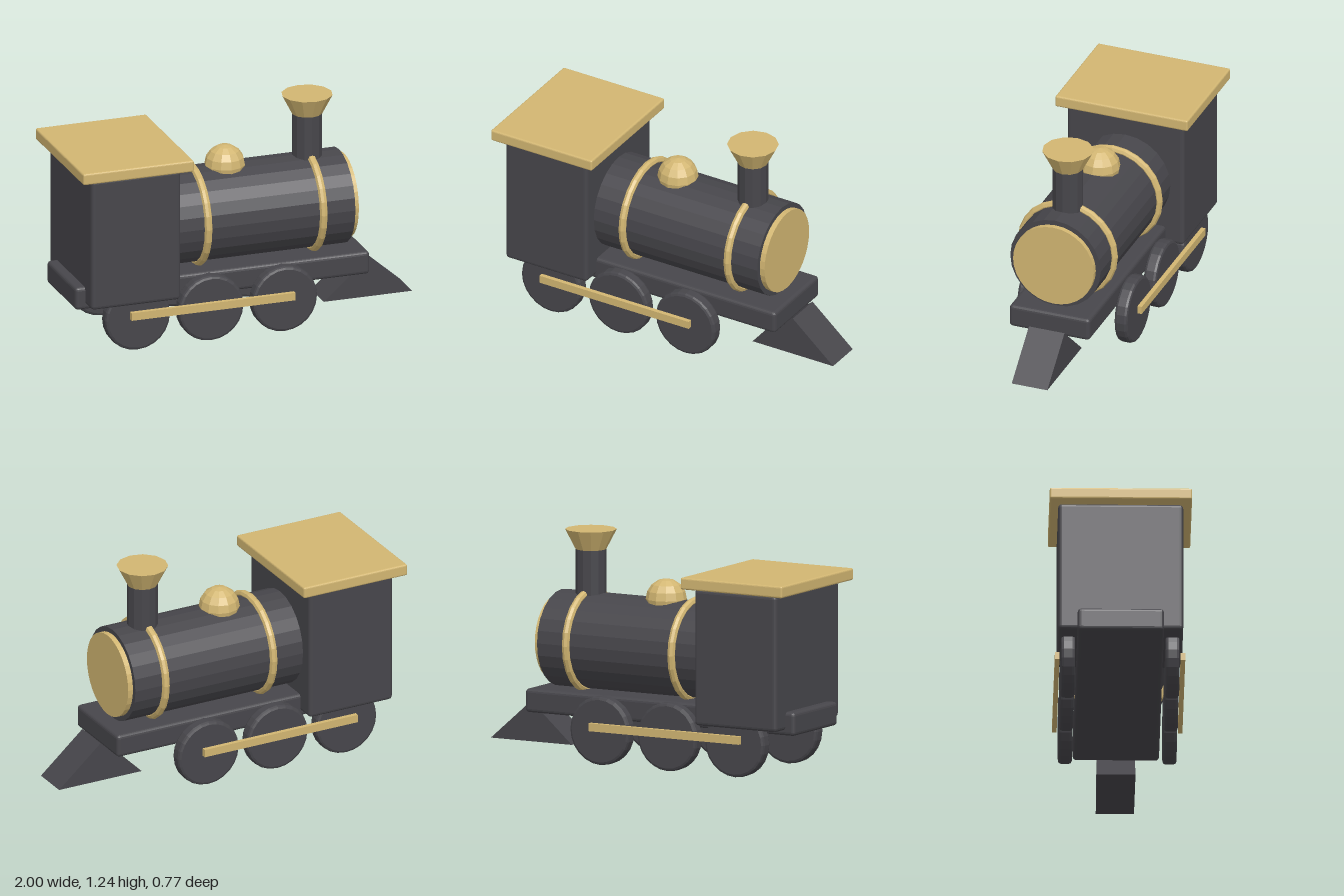
import * as THREE from 'three';
import { RoundedBoxGeometry } from 'three/addons/geometries/RoundedBoxGeometry.js';

const iron = new THREE.MeshStandardMaterial({ color: 0x47464b, flatShading: true });
iron.name = 'dark iron';
const brass = new THREE.MeshStandardMaterial({ color: 0xd2b672, flatShading: true });
brass.name = 'brass';

export function createModel() {
  const model = new THREE.Group();
  model.name = 'steamLocomotive';

  function add(name, geometry, material, x, y, z = 0) {
    const mesh = new THREE.Mesh(geometry, material);
    mesh.name = name;
    mesh.position.set(x, y, z);
    model.add(mesh);
    return mesh;
  }

  // Rounded box given by its x and y ranges and its half width in z
  function block(name, material, x0, x1, y0, y1, halfZ, radius) {
    const g = new RoundedBoxGeometry(x1 - x0, y1 - y0, halfZ * 2, 2, radius);
    return add(name, g, material, (x0 + x1) / 2, (y0 + y1) / 2);
  }

  // Cylinder lying along x
  function barrel(name, material, x0, x1, y, r, sides) {
    const g = new THREE.CylinderGeometry(r, r, x1 - x0, sides).rotateZ(-Math.PI / 2);
    return add(name, g, material, (x0 + x1) / 2, y);
  }

  // Chassis and cab
  block('chassis', iron, -0.99, 0.71, 0.24, 0.37, 0.235, 0.02);
  block('cab', iron, -0.935, -0.42, 0.27, 1.02, 0.34, 0.02);
  block('cabRoof', brass, -1, -0.36, 1.02, 1.085, 0.387, 0.01);

  // Boiler, front plate and bands
  barrel('boiler', iron, -0.5, 0.615, 0.63, 0.264, 24);
  barrel('boilerFrontPlate', brass, 0.6, 0.645, 0.63, 0.236, 32);
  for (const x of [-0.235, 0.43]) {
    const band = new THREE.TorusGeometry(0.27, 0.022, 8, 24).rotateY(Math.PI / 2);
    add('boilerBand', band, brass, x, 0.63);
  }

  // Steam dome and chimney
  add('steamDome', new THREE.SphereGeometry(0.112, 12, 8), brass, -0.045, 0.893);
  add('chimney', new THREE.CylinderGeometry(0.084, 0.084, 0.33, 12), iron, 0.43, 0.965);
  add('chimneyFlare', new THREE.CylinderGeometry(0.141, 0.084, 0.11, 12), brass, 0.43, 1.185);

  // Wheels with bevelled rims, and coupling rods
  const rim = [[0, -0.038], [0.172, -0.038], [0.183, -0.033], [0.188, -0.022],
    [0.188, 0.022], [0.183, 0.033], [0.172, 0.038], [0, 0.038]];
  const wheel = new THREE.LatheGeometry(rim.map(([r, h]) => new THREE.Vector2(r, h)), 24)
    .rotateX(Math.PI / 2);
  for (const side of [-1, 1]) {
    for (const x of [-0.66, -0.235, 0.19]) add('wheel', wheel, iron, x, 0.188, side * 0.284);
    add('couplingRod', new THREE.BoxGeometry(0.945, 0.044, 0.025), brass, -0.237, 0.211, side * 0.342);
  }

  // Wedge-shaped track clearer
  const wedge = new THREE.Shape([
    new THREE.Vector2(0.49, 0.06), new THREE.Vector2(1, 0.06), new THREE.Vector2(0.745, 0.283)]);
  const wedgeGeometry = new THREE.ExtrudeGeometry(wedge, { depth: 0.208, bevelEnabled: false });
  add('trackClearer', wedgeGeometry, iron, 0, 0, -0.104);

  return model;
}
